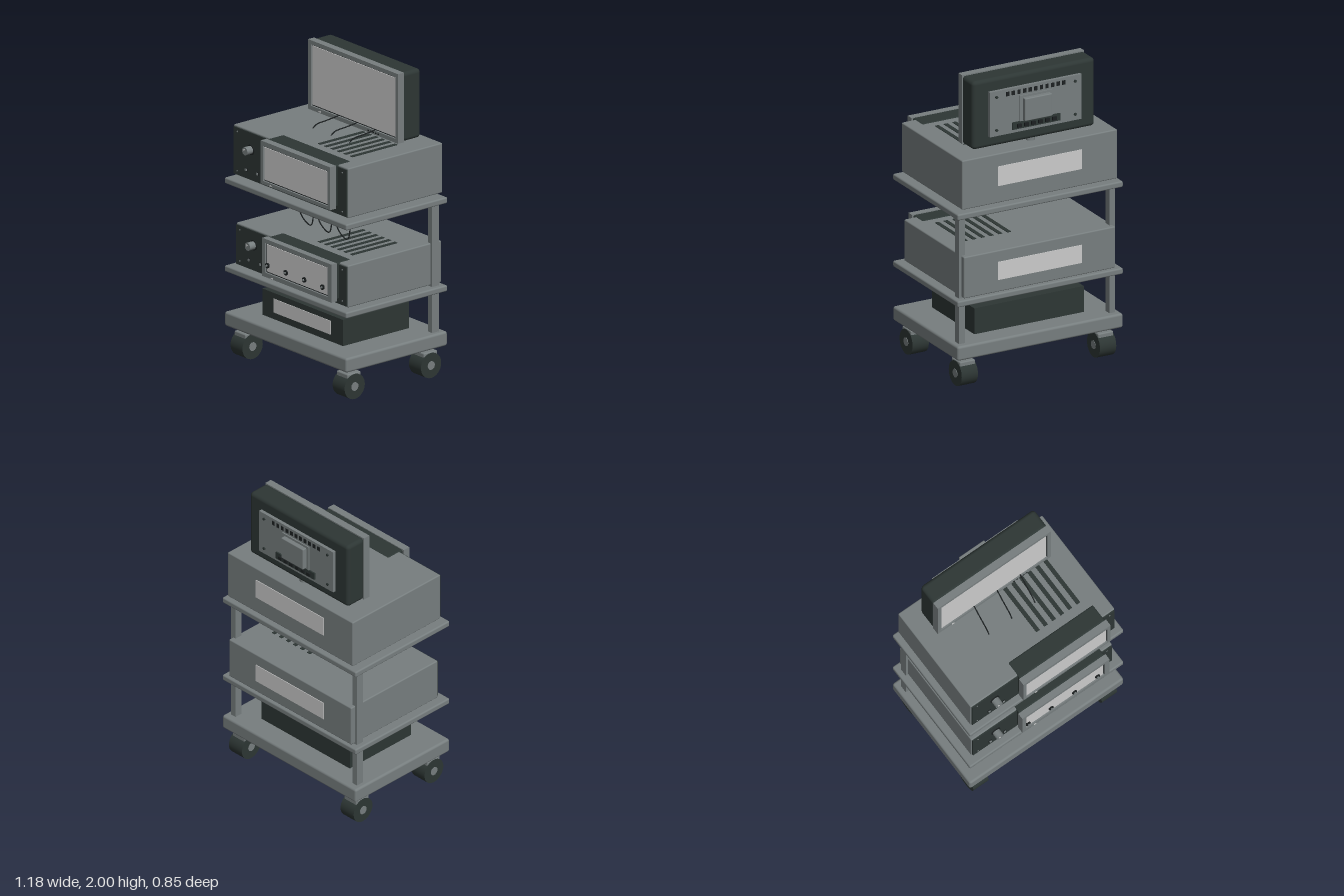
import * as THREE from 'three';
import { RoundedBoxGeometry } from 'three/addons/geometries/RoundedBoxGeometry.js';

const mat = (name, color) => {
  const m = new THREE.MeshStandardMaterial({ color });
  m.name = name;
  return m;
};

export function createModel() {
  const root = new THREE.Group();
  root.name = 'equipmentCart';
  const grey = mat('metalGrey', 0x777e7f);
  const dark = mat('darkCasing', 0x2d3634);
  const light = mat('screenGrey', 0xcbcbcb);
  const black = mat('blackTrim', 0x1c2021);

  const add = (parent, name, geo, m, x = 0, y = 0, z = 0) => {
    const mesh = new THREE.Mesh(geo, m);
    mesh.name = name;
    mesh.position.set(x, y, z);
    parent.add(mesh);
    return mesh;
  };
  // box given by its limits; r > 0 rounds the edges
  const box = (parent, name, m, [x0, x1], [y0, y1], [z0, z1], r = 0) => {
    const s = [x1 - x0, y1 - y0, z1 - z0];
    const geo = r ? new RoundedBoxGeometry(...s, 3, r) : new THREE.BoxGeometry(...s);
    return add(parent, name, geo, m, (x0 + x1) / 2, (y0 + y1) / 2, (z0 + z1) / 2);
  };
  // cylinder lying along z
  const disc = (parent, name, m, r, x, y, z0, z1) => {
    const geo = new THREE.CylinderGeometry(r, r, z1 - z0, 20).rotateX(Math.PI / 2);
    return add(parent, name, geo, m, x, y, (z0 + z1) / 2);
  };
  const group = (name) => {
    const g = new THREE.Group();
    g.name = name;
    root.add(g);
    return g;
  };
  const rect = (path, x0, x1, y0, y1) =>
    path.moveTo(x0, y0).lineTo(x1, y0).lineTo(x1, y1).lineTo(x0, y1).closePath();
  // picture-frame bezel with a dark inner rim and a recessed screen
  const display = (parent, [x0, x1], [y0, y1], [z0, z1], [sx0, sx1], [sy0, sy1]) => {
    const rim = 0.008;
    const shape = new THREE.Shape();
    rect(shape, x0, x1, y0, y1);
    const hole = new THREE.Path();
    rect(hole, sx0 - rim, sx1 + rim, sy0 - rim, sy1 + rim);
    shape.holes.push(hole);
    const geo = new THREE.ExtrudeGeometry(shape, { depth: z1 - z0, bevelEnabled: false });
    add(parent, 'bezel', geo, grey, 0, 0, z0);
    box(parent, 'screenRim', black, [sx0 - rim, sx1 + rim], [sy0 - rim, sy1 + rim], [z0, z1 - 0.012]);
    box(parent, 'screen', light, [sx0, sx1], [sy0, sy1], [z1 - 0.013, z1 - 0.007]);
  };

  // shelves and rear posts
  const cart = group('cart');
  const W = [-0.59, 0.59], D = [-0.43, 0.39];
  box(cart, 'baseShelf', grey, W, [0.2, 0.295], D, 0.015);
  box(cart, 'middleShelf', grey, W, [0.557, 0.597], D, 0.01);
  box(cart, 'topShelf', grey, W, [1.135, 1.175], D, 0.01);
  for (const s of [-1, 1])
    box(cart, 'post', grey, [s * 0.536 - 0.02, s * 0.536 + 0.02], [0.29, 1.14], [-0.386, -0.333]);

  // casters
  for (const x of [-0.493, 0.493]) for (const z of [0.29, -0.328]) {
    const c = group('caster');
    c.position.set(x, 0, z);
    add(c, 'stem', new THREE.CylinderGeometry(0.022, 0.022, 0.06, 16), grey, 0, 0.18, 0);
    box(c, 'forkCap', grey, [-0.055, 0.055], [0.13, 0.17], [-0.055, 0.055], 0.008);
    add(c, 'wheel', new THREE.CylinderGeometry(0.082, 0.082, 0.116, 32).rotateZ(Math.PI / 2), dark, 0, 0.082, 0);
    add(c, 'hub', new THREE.CylinderGeometry(0.028, 0.028, 0.122, 20).rotateZ(Math.PI / 2), grey, 0, 0.082, 0);
  }

  // bottom unit
  const low = group('lowerUnit');
  box(low, 'lowerCasing', dark, [-0.39, 0.39], [0.294, 0.467], [-0.285, 0.25]);
  box(low, 'lowerPanel', light, [-0.277, 0.275], [0.34, 0.43], [0.248, 0.254]);

  // two instrument units sharing one layout
  const instrument = (name, o) => {
    const g = group(name);
    const [y0, y1] = o.y, w = o.w, zf = o.front;
    box(g, 'casing', grey, [-w, w], o.y, [-0.42, zf], 0.008);
    box(g, 'frontPanel', dark, [-w + 0.007, w - 0.007], [y0 + 0.008, y1 - 0.01], [zf - 0.01, zf + 0.008]);
    box(g, 'displayHousing', dark, [-0.195, 0.46], [o.dy[0] + 0.005, y1 + 0.004], [0.243, o.dz[0]], 0.012);
    display(g, [-0.202, 0.467], o.dy, o.dz, o.sx, o.sy);
    box(g, 'displayLight', light, [-0.115, -0.097], [o.dy[0] + 0.004, o.dy[0] + 0.01], [o.dz[1], o.dz[1] + 0.004]);
    // control knob
    const [kx, ky] = o.knob;
    disc(g, 'knobRing', black, 0.033, kx, ky, zf, zf + 0.014);
    disc(g, 'knob', grey, 0.026, kx, ky, zf, zf + 0.06);
    disc(g, 'knobMark', light, 0.006, kx - 0.006, ky + 0.008, zf + 0.058, zf + 0.063);
    // buttons and corner screws
    for (const dx of [-0.043, 0.067]) {
      box(g, 'buttonRim', black, [kx + dx - 0.011, kx + dx + 0.011], [y0 + 0.055, y0 + 0.077], [zf, zf + 0.012]);
      box(g, 'button', grey, [kx + dx - 0.007, kx + dx + 0.007], [y0 + 0.059, y0 + 0.073], [zf, zf + 0.018]);
    }
    for (const x of [-w + 0.045, w - 0.045]) for (const y of [y0 + 0.035, y1 - 0.035])
      disc(g, 'panelScrew', grey, 0.005, x, y, zf, zf + 0.011);
    // top vents, rear plate, feet
    for (let i = 0; i < 6; i++) {
      const x = 0.068 + i * 0.062;
      box(g, 'topVent', dark, [x, x + 0.027], [y1 - 0.003, y1 + 0.003], [-0.18, 0.185]);
    }
    box(g, 'rearPlate', light, [-0.3, 0.3], o.plate, [-0.424, -0.418]);
    for (const x of [-0.39, 0.39]) for (const z of [0.195, -0.265])
      add(g, 'foot', new THREE.CylinderGeometry(0.024, 0.024, 0.03, 16), dark, x, y0 - 0.012, z);
    return g;
  };
  instrument('upperInstrument', {
    y: [1.197, 1.524], w: 0.553, front: 0.345, dy: [1.245, 1.527], dz: [0.372, 0.42],
    sx: [-0.172, 0.435], sy: [1.275, 1.488], knob: [-0.375, 1.405], plate: [1.31, 1.44],
  });
  const mid = instrument('middleInstrument', {
    y: [0.605, 0.88], w: 0.54, front: 0.335, dy: [0.635, 0.885], dz: [0.365, 0.408],
    sx: [-0.165, 0.423], sy: [0.672, 0.85], knob: [-0.36, 0.78], plate: [0.685, 0.805],
  });
  // sockets across the middle display
  for (const x of [-0.155, 0.022, 0.2, 0.377]) {
    disc(mid, 'socketRing', black, 0.017, x, 0.714, 0.39, 0.41);
    disc(mid, 'socketPin', grey, 0.007, x, 0.714, 0.39, 0.418);
  }

  // monitor
  const mon = group('monitor');
  add(mon, 'monitorNeck', new THREE.CylinderGeometry(0.028, 0.028, 0.04, 20), grey, 0, 1.535, -0.3);
  box(mon, 'monitorBack', dark, [-0.437, 0.435], [1.545, 1.998], [-0.346, -0.2], 0.025);
  display(mon, [-0.437, 0.433], [1.543, 2], [-0.208, -0.16], [-0.402, 0.398], [1.578, 1.965]);
  box(mon, 'monitorLight', light, [-0.33, -0.312], [1.55, 1.556], [-0.16, -0.155]);
  for (let i = 0; i < 5; i++)
    box(mon, 'monitorButton', black, [0.142 + i * 0.024, 0.154 + i * 0.024], [1.552, 1.56], [-0.161, -0.157]);
  box(mon, 'rearPanel', grey, [-0.328, 0.326], [1.62, 1.918], [-0.368, -0.34]);
  box(mon, 'mountPlate', grey, [-0.12, 0.115], [1.68, 1.86], [-0.376, -0.36]);
  box(mon, 'mountBlock', grey, [-0.098, 0.096], [1.695, 1.845], [-0.405, -0.36], 0.006);
  box(mon, 'connectorStrip', dark, [-0.17, 0.17], [1.643, 1.69], [-0.378, -0.36]);
  for (let i = 0; i < 6; i++) {
    const x = -0.125 + i * 0.05;
    box(mon, 'connector', black, [x - 0.014, x + 0.014], [1.655, 1.678], [-0.39, -0.37]);
  }
  for (let i = 0; i < 11; i++) {
    const x = -0.2 + i * 0.04;
    box(mon, 'rearVent', black, [x - 0.011, x + 0.011], [1.872, 1.9], [-0.371, -0.366]);
  }
  for (const x of [-0.28, 0.28]) for (const y of [1.66, 1.88])
    disc(mon, 'rearScrew', dark, 0.009, x, y, -0.376, -0.365);

  // cables: one set from the monitor, one hanging under the top shelf
  const cables = group('cables');
  const cable = (pts) => {
    const curve = new THREE.CatmullRomCurve3(pts.map((p) => new THREE.Vector3(...p)));
    add(cables, 'cable', new THREE.TubeGeometry(curve, 40, 0.004, 8), black);
  };
  for (let i = 0; i < 3; i++) {
    const a = -0.177 + i * 0.177, b = -0.198 + i * 0.177;
    cable([[a, 1.522, 0.022], [a + 0.004, 1.545, -0.01], [a + 0.014, 1.558, -0.09], [a + 0.025, 1.572, -0.17]]);
    cable([[b, 1.19, 0.1], [b, 1.0, 0.107], [b + 0.035, 0.945, 0.1], [b + 0.08, 0.917, 0.085],
      [b + 0.1, 1.03, 0.076], [b + 0.105, 1.19, 0.072]]);
    add(cables, 'cablePlug', new THREE.CylinderGeometry(0.012, 0.012, 0.02, 12), black, b + 0.105, 1.185, 0.072);
  }
  return root;
}
